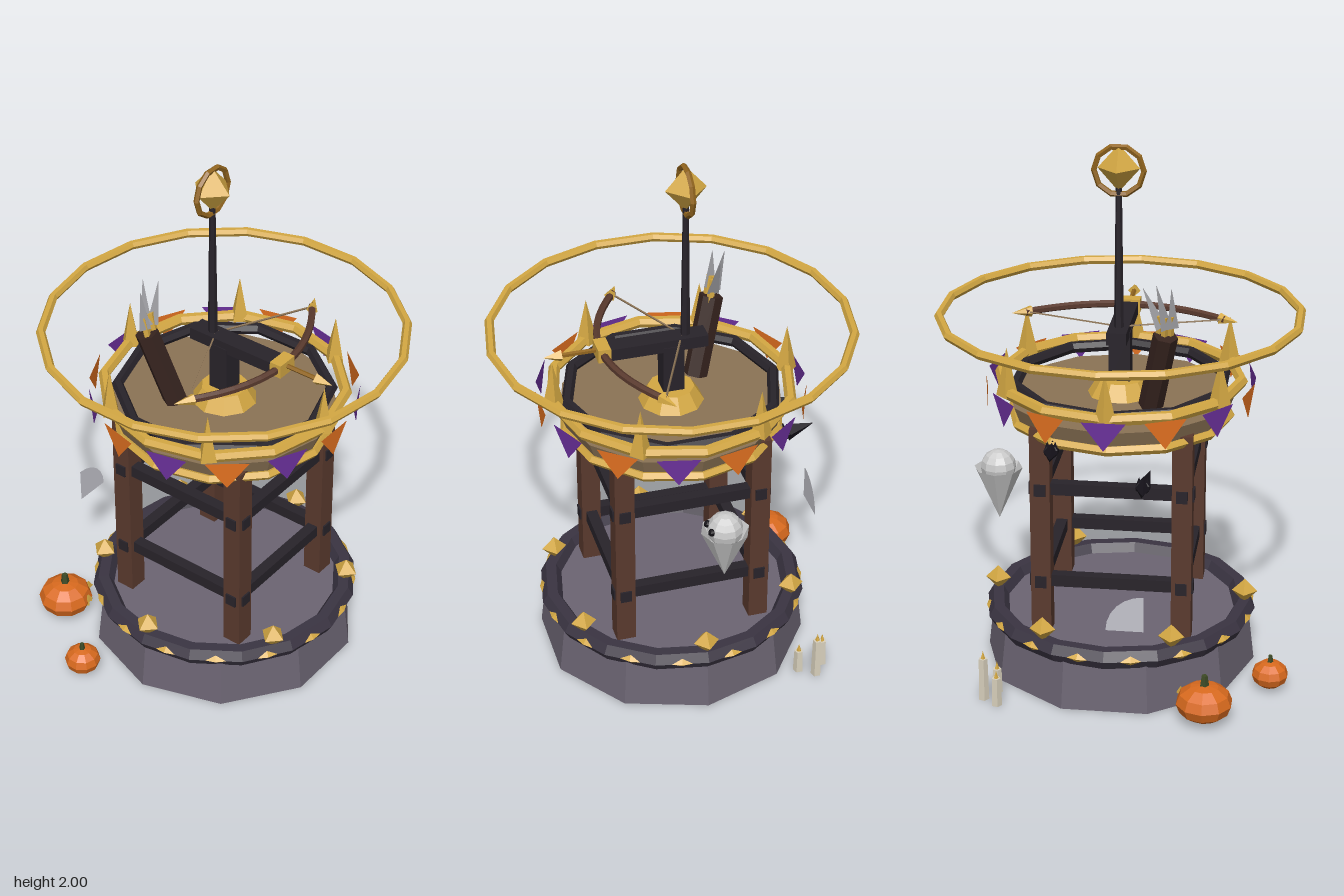
import * as THREE from 'three';

const mat = (color, side = THREE.FrontSide) =>
  new THREE.MeshStandardMaterial({ color, side, flatShading: true });

const M = {
  stone: mat(0x6b6472), slate: mat(0x3a3442), gold: mat(0xd4a843), bronze: mat(0x93661f),
  wood: mat(0x5a3a2e), bark: mat(0x37241f), dark: mat(0x28232a), plank: mat(0x8b7355),
  orange: mat(0xd96a1e), stem: mat(0x3d4a26), black: mat(0x121015), wax: mat(0xd8d0bc),
  ghost: mat(0xe6e8e8, THREE.DoubleSide), web: mat(0xc4c4cc, THREE.DoubleSide),
  steel: mat(0x9a9a9e, THREE.DoubleSide), bat: mat(0x17141c, THREE.DoubleSide),
  flagA: mat(0xe07020, THREE.DoubleSide), flagB: mat(0x6a309a, THREE.DoubleSide),
};

export function createModel() {
  const root = new THREE.Group();
  const V = (x, y, z) => new THREE.Vector3(x, y, z);
  const add = (name, geo, material, x = 0, y = 0, z = 0, parent = root) => {
    const m = new THREE.Mesh(geo, material);
    m.name = name;
    m.position.set(x, y, z);
    parent.add(m);
    return m;
  };
  const group = (name, x, y, z) => {
    const g = new THREE.Group();
    g.name = name;
    g.position.set(x, y, z);
    root.add(g);
    return g;
  };
  const box = (w, h, d) => new THREE.BoxGeometry(w, h, d);
  const cyl = (rt, rb, h, n) => new THREE.CylinderGeometry(rt, rb, h, n);
  // horizontal polygonal ring
  const ring = (name, r, tube, sides, segs, material, y, turn = 0) =>
    add(name, new THREE.TorusGeometry(r, tube, sides, segs).rotateX(Math.PI / 2).rotateY(turn), material, 0, y, 0);
  // round bar between two points
  const rod = (name, a, b, ra, rb, sides, material, parent = root) => {
    const m = add(name, cyl(rb, ra, a.distanceTo(b), sides), material, 0, 0, 0, parent);
    m.position.copy(a).add(b).multiplyScalar(0.5);
    m.quaternion.setFromUnitVectors(V(0, 1, 0), b.clone().sub(a).normalize());
    return m;
  };

  // Stone base with trim and finials
  add('stoneBase', cyl(0.485, 0.51, 0.21, 10), M.stone, 0, 0.105, 0);
  ring('baseRim', 0.47, 0.04, 6, 16, M.slate, 0.21);
  ring('baseTrim', 0.487, 0.021, 4, 16, M.gold, 0.21, Math.PI / 16);
  for (let i = 0; i < 6; i++) {
    const a = Math.PI / 6 + i * Math.PI / 3;
    add('baseFinial', new THREE.OctahedronGeometry(0.048), M.gold, 0.47 * Math.cos(a), 0.28, 0.47 * Math.sin(a));
  }

  // Posts and through beams
  for (const sx of [-1, 1]) for (const sz of [-1, 1])
    add('post', box(0.073, 0.82, 0.073), M.wood, sx * 0.257, 0.6, sz * 0.257);
  for (const y of [0.413, 0.777]) for (const s of [-1, 1]) {
    add('crossBeam', box(0.6, 0.045, 0.042), M.dark, 0, y, s * 0.257);
    add('sideBeam', box(0.042, 0.045, 0.6), M.dark, s * 0.257, y, 0);
  }

  // Platform and railing
  add('platform', cyl(0.415, 0.39, 0.07, 12), M.plank, 0, 1.022, 0);
  ring('platformTrim', 0.4, 0.019, 5, 12, M.gold, 0.987);
  ring('innerRail', 0.39, 0.022, 6, 10, M.dark, 1.108);
  ring('goldRail', 0.443, 0.022, 6, 12, M.gold, 1.12);
  for (let i = 0; i < 6; i++) {
    const a = i * Math.PI / 3;
    add('railSpike', new THREE.ConeGeometry(0.04, 0.18, 4), M.gold, 0.44 * Math.cos(a), 1.2, 0.44 * Math.sin(a));
  }

  // Bunting
  const flag = new THREE.BufferGeometry().setFromPoints([V(-0.078, 0, 0), V(0, -0.105, 0), V(0.078, 0, 0)]);
  flag.computeVertexNormals();
  for (let i = 0; i < 14; i++) {
    const a = i * Math.PI / 7;
    const f = add('flag', flag, i % 2 ? M.flagB : M.flagA, 0.487 * Math.cos(a), 1.125, 0.487 * Math.sin(a));
    f.rotation.y = Math.PI / 2 - a;
  }

  // Mounted crossbow
  add('turretHub', cyl(0.085, 0.122, 0.06, 10), M.gold, 0, 1.085, 0);
  add('turretPost', box(0.078, 0.2, 0.078), M.dark, 0, 1.2, 0);
  add('crossbowStock', box(0.37, 0.046, 0.072), M.dark, 0.055, 1.305, 0);
  add('crossbowBlock', box(0.047, 0.052, 0.084), M.gold, 0.256, 1.31, 0);
  const bow = new THREE.QuadraticBezierCurve3(V(0.12, 1.31, -0.37), V(0.4, 1.31, 0), V(0.12, 1.31, 0.37));
  add('bowLimb', new THREE.TubeGeometry(bow, 14, 0.014, 6), M.wood);
  for (const s of [-1, 1]) {
    rod('bowTip', V(0.135, 1.31, s * 0.35), V(0.1, 1.31, s * 0.415), 0.022, 0.001, 5, M.gold);
    rod('bowString', V(0.125, 1.31, s * 0.365), V(-0.04, 1.325, 0), 0.004, 0.004, 4, M.plank);
  }
  rod('boltShaft', V(0.05, 1.315, 0), V(0.42, 1.315, 0), 0.009, 0.009, 5, M.bronze);
  rod('boltHead', V(0.405, 1.315, 0), V(0.47, 1.315, 0), 0.024, 0.001, 4, M.gold);

  // Mast, crystal and large halo
  add('mast', cyl(0.011, 0.018, 0.54, 6), M.dark, -0.053, 1.58, 0);
  add('mastCrystal', new THREE.OctahedronGeometry(0.075), M.gold, -0.053, 1.914, 0).scale.y = 1.14;
  add('crystalRing', new THREE.TorusGeometry(0.088, 0.011, 5, 10).rotateY(Math.PI / 2), M.bronze, -0.053, 1.905, 0);
  ring('halo', 0.655, 0.017, 6, 18, M.gold, 1.362);

  // Quiver of arrows
  const quiver = group('quiver', 0, 0, 0);
  rod('quiverCase', V(-0.13, 1.06, 0.125), V(-0.207, 1.355, 0.185), 0.045, 0.045, 6, M.bark, quiver);
  for (let i = -1; i <= 1; i++) {
    const x = -0.21 + 0.012 * Math.abs(i), z = 0.185 - i * 0.02;
    rod('arrowShaft', V(x + 0.015, 1.3, z - 0.01), V(x - 0.01, 1.43, z), 0.013, 0.013, 5, M.gold, quiver);
    rod('arrowFletching', V(x - 0.005, 1.385, z), V(-0.245 + 0.03 * Math.abs(i), 1.55 - 0.02 * Math.abs(i), 0.155 - i * 0.05),
      0.026, 0.001, 3, M.steel, quiver);
  }

  // Pumpkins
  const pumpkin = (x, z, r, h, face) => {
    const g = group('pumpkin', x, h / 2 + 0.006, z);
    const body = add('pumpkinBody', new THREE.SphereGeometry(r, 10, 6), M.orange, 0, 0, 0, g);
    body.scale.y = h / 2 / r;
    add('pumpkinStem', cyl(r * 0.11, r * 0.18, r * 0.45, 5), M.stem, 0, h / 2 + r * 0.12, 0, g);
    if (!face) return;
    const front = new THREE.Group();
    front.rotation.y = 0.7;
    g.add(front);
    for (const s of [-1, 1])
      add('pumpkinEye', new THREE.ConeGeometry(0.018, 0.03, 3), M.gold, 0.09, 0.02, s * 0.04, front);
    for (const s of [-1, 0, 1])
      add('pumpkinTooth', box(0.015, 0.014, 0.02), M.gold, 0.095 - 0.01 * Math.abs(s), -0.022, s * 0.026, front);
  };
  pumpkin(-0.507, 0.365, 0.104, 0.142, true);
  pumpkin(-0.232, 0.585, 0.068, 0.105, false);

  // Candles
  for (const [x, z, h] of [[-0.445, -0.45, 0.165], [-0.485, -0.395, 0.11], [-0.387, -0.41, 0.095]]) {
    const g = group('candle', x, 0, z);
    add('candleWax', cyl(0.017, 0.02, h, 5), M.wax, 0, h / 2, 0, g);
    add('candleFlame', new THREE.ConeGeometry(0.009, 0.03, 5), M.gold, 0, h + 0.015, 0, g);
  }

  // Hovering ghost facing left
  const ghost = group('ghost', -0.072, 0.77, -0.447);
  add('ghostHead', new THREE.SphereGeometry(0.066, 10, 8), M.ghost, 0, 0, 0, ghost);
  add('ghostTail', new THREE.ConeGeometry(0.09, 0.205, 8, 1, true).rotateX(Math.PI), M.ghost, 0, -0.105, 0, ghost);
  for (const s of [-1, 1])
    add('ghostEye', new THREE.SphereGeometry(0.014, 6, 5), M.black, 0.058, 0.015, s * 0.027, ghost);

  // Bats with mirrored wings
  for (const [x, y, z] of [[-0.405, 0.86, 0.13], [-0.37, 0.965, -0.2]]) {
    const g = group('bat', x, y, z);
    add('batBody', new THREE.SphereGeometry(0.03, 6, 5), M.bat, 0, 0, 0, g).scale.y = 0.8;
    for (const s of [-1, 1]) {
      const wing = rod('batWing', V(s * 0.015, 0, 0), V(s * 0.115, 0.014, 0.012), 0.036, 0.001, 4, M.bat, g);
      wing.scale.z = 0.7;
      add('batEar', new THREE.ConeGeometry(0.008, 0.02, 4), M.bat, 0, 0.026, s * 0.014, g);
    }
  }

  // Quarter-round cobweb
  add('cobweb', new THREE.CircleGeometry(0.135, 6, 0, Math.PI / 2), M.web, -0.59, 0.385, 0.155).rotation.y = Math.PI / 2;

  return root;
}
